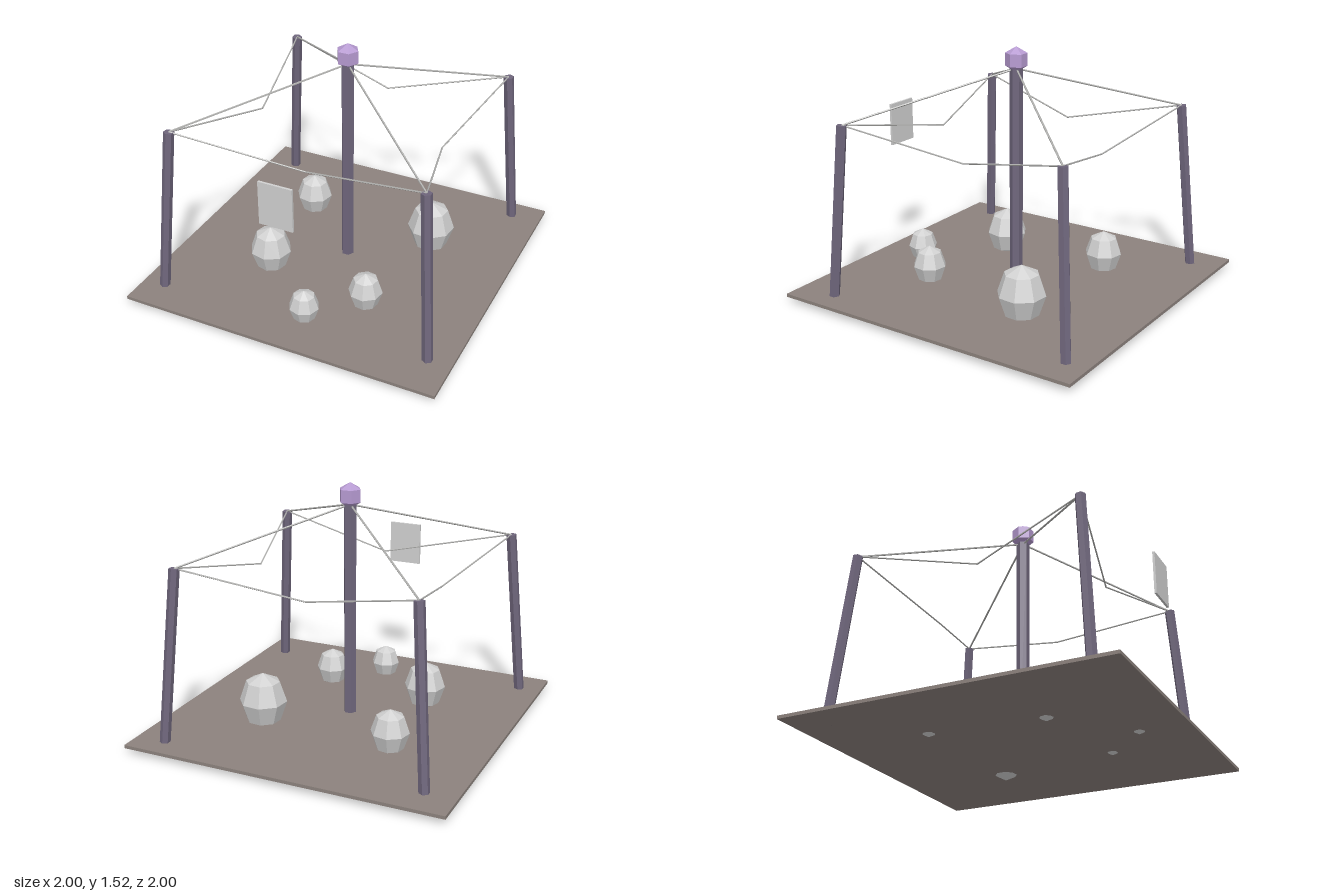
import * as THREE from 'three';

const mat = (name, color) => {
  const m = new THREE.MeshStandardMaterial({ color, flatShading: true });
  m.name = name;
  return m;
};

export function createModel() {
  const group = new THREE.Group();
  const ground = mat('warm brown', 0x8c827d);
  const wood = mat('dusky purple', 0x6f667c);
  const crystal = mat('lilac', 0xb79bd2);
  const pale = mat('pale grey', 0xd0d0d0);
  const wire = mat('wire grey', 0xb0b0ae);

  const add = (name, geometry, material, x = 0, y = 0, z = 0) => {
    const mesh = new THREE.Mesh(geometry, material);
    mesh.name = name;
    mesh.position.set(x, y, z);
    group.add(mesh);
    return mesh;
  };

  // Straight round bar between two points
  const bar = (name, a, b, radius, sides, material) => {
    const dir = b.clone().sub(a);
    const mesh = add(name, new THREE.CylinderGeometry(radius, radius, dir.length(), sides), material);
    mesh.position.copy(a).add(b).multiplyScalar(0.5);
    mesh.quaternion.setFromUnitVectors(new THREE.Vector3(0, 1, 0), dir.normalize());
    return mesh;
  };

  // Ground plate
  add('groundPlate', new THREE.BoxGeometry(2, 0.02, 2), ground, 0, 0.045, 0);

  // Centre mast with its faceted finial
  const mast = add('mast', new THREE.CylinderGeometry(0.04, 0.04, 1.35, 6), wood, 0, 0.715, 0);
  mast.rotation.y = Math.PI / 6;
  add('finial', new THREE.SphereGeometry(0.0775, 6, 3), crystal, 0, 1.44, 0);

  // Corner posts leaning inwards: base x, z and top x, z
  const corners = [
    [0.855, 0.745, 0.785, 0.685],
    [0.81, -0.86, 0.735, -0.78],
    [-0.81, -0.81, -0.73, -0.735],
    [-0.86, 0.80, -0.78, 0.725],
  ];
  const hub = new THREE.Vector3(0, 1.385, 0);
  const tops = corners.map(([bx, bz, tx, tz]) => {
    const top = new THREE.Vector3(tx, 1.11, tz);
    bar('cornerPost', new THREE.Vector3(bx, 0.038, bz), top, 0.032, 6, wood);
    return top;
  });

  // Stay wires to the mast, and slack wires pulled inwards between posts
  tops.forEach((top, i) => {
    const next = tops[(i + 1) % 4];
    bar('stayWire', top, hub, 0.006, 5, wire);
    const mid = top.clone().add(next).multiplyScalar(0.5 * 0.78);
    mid.y = 0.955;
    bar('slackWire', top, mid, 0.005, 5, wire);
    bar('slackWire', mid, next, 0.005, 5, wire);
  });

  // Pods sunk slightly into the ground: x, y, z, radius, turn
  const pods = [
    [0.435, 0.18, -0.33, 0.148, 0.3],
    [-0.375, 0.172, 0.325, 0.13, 0.15],
    [-0.43, 0.158, -0.38, 0.117, 0.2],
    [0.325, 0.145, 0.43, 0.104, 0.25],
    [0.053, 0.13, 0.7, 0.092, 0.1],
  ];
  for (const [x, y, z, r, turn] of pods) {
    const pod = add('pod', new THREE.SphereGeometry(r, 8, 4), pale, x, y, z);
    pod.scale.y = 1.21;
    pod.rotation.y = turn;
  }

  // Floating panel at the front
  add('floatingPanel', new THREE.BoxGeometry(0.21, 0.27, 0.014), pale, 0, 0.925, 0.893);

  return group;
}
